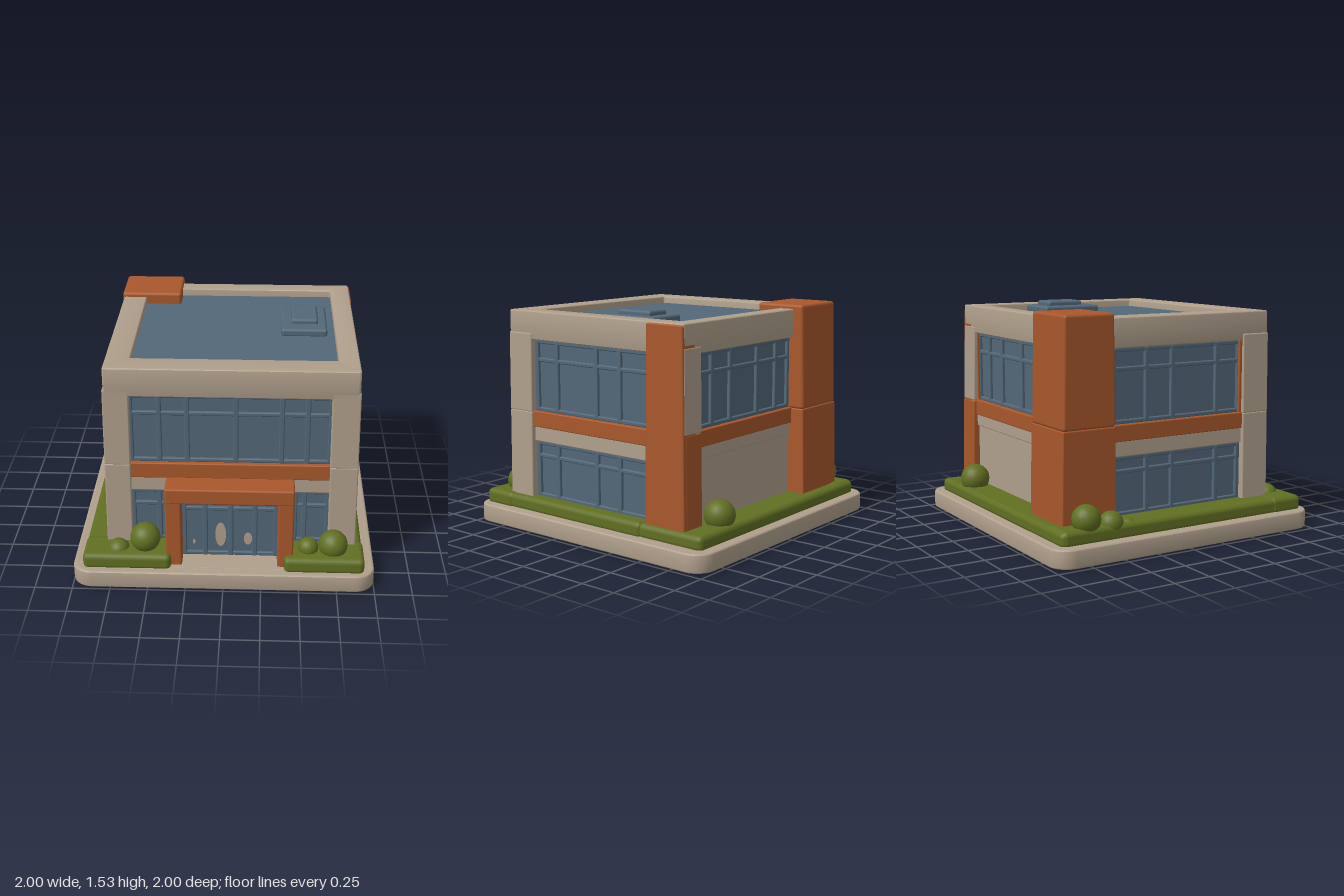
import * as THREE from 'three';
import { toCreasedNormals } from 'three/addons/utils/BufferGeometryUtils.js';
import { RoundedBoxGeometry } from 'three/addons/geometries/RoundedBoxGeometry.js';

const paint = (name, color) => {
  const m = new THREE.MeshStandardMaterial({ color });
  m.name = name;
  return m;
};

export function createModel() {
  const model = new THREE.Group();
  model.name = 'officeBuilding';
  const stone = paint('stone', 0xb0a08c);
  const brick = paint('terracotta', 0xa8582c);
  const glass = paint('blueGlass', 0x536878);
  const leaf = paint('hedgeGreen', 0x616f22);

  const add = (name, geo, mat) => {
    const mesh = new THREE.Mesh(geo, mat);
    mesh.name = name;
    model.add(mesh);
    return mesh;
  };

  // Soft-edged box given by its limits; tall parts lean inwards as they rise
  function box(name, mat, x0, x1, y0, y1, z0, z1, r = 0.012, lean = false) {
    const w = x1 - x0, h = y1 - y0, d = z1 - z0;
    const geo = new RoundedBoxGeometry(w, h, d, 2, Math.min(r, w * 0.45, h * 0.45, d * 0.45));
    geo.translate((x0 + x1) / 2, (y0 + y1) / 2, (z0 + z1) / 2);
    if (lean) {
      const p = geo.attributes.position;
      for (let i = 0; i < p.count; i++) {
        const y = p.getY(i), z = p.getZ(i);
        p.setX(i, p.getX(i) * (1 - 0.016 * y));
        if (z < -0.6) p.setZ(i, z * (1 - 0.03 * y));
      }
    }
    return add(name, geo, mat);
  }

  function roundRect(S, x0, x1, z0, z1, r) {
    const s = new S(), a = -z1, b = -z0;
    s.moveTo(x0 + r, a);
    s.lineTo(x1 - r, a); s.absarc(x1 - r, a + r, r, -Math.PI / 2, 0);
    s.lineTo(x1, b - r); s.absarc(x1 - r, b - r, r, 0, Math.PI / 2);
    s.lineTo(x0 + r, b); s.absarc(x0 + r, b - r, r, Math.PI / 2, Math.PI);
    s.lineTo(x0, a + r); s.absarc(x0 + r, a + r, r, Math.PI, Math.PI * 1.5);
    return s;
  }

  // Horizontal ring with an opening and bevelled edges
  function ring(name, mat, outer, inner, y0, y1, bevel) {
    const shape = roundRect(THREE.Shape, ...outer);
    shape.holes.push(roundRect(THREE.Path, ...inner));
    const geo = new THREE.ExtrudeGeometry(shape, {
      depth: y1 - y0 - 2 * bevel, bevelThickness: bevel, bevelSize: bevel,
      bevelOffset: -bevel, bevelSegments: 3, curveSegments: 8,
    });
    geo.rotateX(-Math.PI / 2);
    geo.translate(0, y0 + bevel, 0);
    add(name, toCreasedNormals(geo, 0.4), mat);
  }

  // Hollow plinth with a paved lip, floor and open feet below the corners
  ring('plinth', stone, [-1, 1, -1, 1, 0.13], [-0.945, 0.945, -0.945, 0.945, 0.09], 0.01, 0.135, 0.016);
  ring('paving', stone, [-0.965, 0.965, -0.965, 0.965, 0.1], [-0.9, 0.9, -0.9, 0.9, 0.08], 0.117, 0.135, 0.001);
  box('floor', stone, -0.76, 0.84, 0.115, 0.133, -0.74, 0.76, 0.004);
  box('entranceFloor', stone, -0.4, 0.48, 0.115, 0.136, 0.68, 0.93, 0.004);
  for (const [x0, x1, y0, z0, z1] of [
    [-0.78, -0.38, 0.02, -0.85, -0.48], [0.7, 0.86, 0.03, -0.77, -0.6],
    [0.7, 0.86, 0.03, 0.58, 0.75], [-0.78, -0.62, 0, 0.55, 0.75],
  ]) {
    const t = (x1 - x0) * 0.18;
    ring('foot', stone, [x0, x1, z0, z1, 0.01], [x0 + t, x1 - t, z0 + t, z1 - t, 0.01], y0, 0.125, 0.004);
  }

  // Glazed core, whose top is the flat roof
  box('glazedCore', glass, -0.72, 0.805, 0.12, 1.45, -0.7, 0.7, 0.005);

  // Corner posts, in two lifts
  for (const [y0, y1] of [[0.12, 0.815], [0.812, 1.35]]) {
    box('leftPost', stone, -0.787, -0.615, y0, y1, 0.55, 0.76, 0.009, true);
    box('rightPost', stone, 0.695, 0.88, y0, y1, 0.55, 0.76, 0.009, true);
    box('tower', brick, -0.79, -0.36, y0, y1 > 1 ? 1.53 : y1, -0.86, -0.46, y1 > 1 ? 0.02 : 0.008, true);
  }
  box('brickPost', brick, 0.75, 0.884, 0.12, 1.492, -0.782, -0.46, 0.012, true);
  box('brickPostBase', brick, 0.695, 0.86, 0.12, 0.815, -0.784, -0.5, 0.012, true);
  box('backPostFace', stone, 0.695, 0.872, 0.815, 1.35, -0.785, -0.7, 0.009, true);

  // Roof parapet and skylight
  ring('parapet', stone, [-0.762, 0.855, -0.75, 0.76, 0.015], [-0.6, 0.72, -0.63, 0.59, 0.01], 1.305, 1.5, 0.012);
  box('skylightBase', glass, 0.36, 0.67, 1.44, 1.497, -0.34, 0.095, 0.018);
  box('skylightTop', glass, 0.43, 0.61, 1.48, 1.53, -0.28, -0.005, 0.018);

  // Strip standing out from one wall; u runs along that wall
  const plane = { front: 0.7, back: -0.7, right: 0.805, left: -0.72 };
  function strip(side, name, mat, u0, u1, y0, y1, out) {
    const p = plane[side], s = Math.sign(p);
    const a = Math.min(p - s * 0.02, p + s * out), b = Math.max(p - s * 0.02, p + s * out);
    if (side === 'front' || side === 'back') box(name, mat, u0, u1, y0, y1, a, b, 0.008);
    else box(name, mat, a, b, y0, y1, u0, u1, 0.008);
  }

  // Window frame: border, transom and mullions
  function windowFrame(side, u0, u1, y0, y1, transom, mullions) {
    for (const u of [u0 + 0.012, ...mullions, u1 - 0.012])
      strip(side, 'mullion', glass, u - 0.017, u + 0.017, y0, y1, 0.02);
    for (const y of [y0 + 0.012, transom, y1 - 0.012])
      strip(side, 'transom', glass, u0, u1, y - 0.014, y + 0.014, 0.018);
  }

  const walls = {
    front: [-0.615, 0.695, [-0.42, -0.24, 0.075, 0.37, 0.535]],
    back: [-0.36, 0.695, [-0.2, 0.02, 0.32, 0.52]],
    right: [-0.46, 0.55, [-0.2, 0.0, 0.355]],
    left: [-0.46, 0.55, [-0.2, 0.0, 0.355]],
  };
  for (const [side, [u0, u1, mullions]] of Object.entries(walls)) {
    windowFrame(side, u0, u1, 0.82, 1.305, 1.17, mullions);
    strip(side, 'brickBand', brick, u0 - 0.01, u1 + 0.01, 0.71, 0.82, 0.045);
    // Brick reveals beside the upper windows
    if (side === 'back' || side === 'left')
      strip(side, 'brickReveal', brick, u1 - 0.022, u1 + 0.006, 0.81, 1.31, 0.035);
    if (side === 'back') {
      strip(side, 'backWall', stone, u0 - 0.01, u1 + 0.01, 0.13, 0.64, 0.025);
      strip(side, 'backWallLip', stone, u0 - 0.01, u1 + 0.01, 0.63, 0.715, 0.038);
      continue;
    }
    strip(side, 'stoneBand', stone, u0 - 0.01, u1 + 0.01, 0.61, 0.715, 0.035);
    if (side !== 'front') windowFrame(side, u0, u1, 0.22, 0.61, 0.51, mullions);
  }
  windowFrame('front', -0.615, -0.375, 0.22, 0.61, 0.5, [-0.43]);
  windowFrame('front', 0.455, 0.695, 0.22, 0.61, 0.5, [0.53]);

  // Entrance portal, doors and handles
  box('portalLeft', brick, -0.38, -0.275, 0.125, 0.7, 0.68, 0.9);
  box('portalRight', brick, 0.355, 0.46, 0.125, 0.7, 0.68, 0.9);
  box('portalLintel', brick, -0.38, 0.46, 0.605, 0.715, 0.68, 0.902);
  box('doors', glass, -0.28, 0.36, 0.13, 0.61, 0.69, 0.76, 0.004);
  for (const x of [-0.265, -0.125, 0.045, 0.205, 0.345])
    box('doorStile', glass, x - 0.017, x + 0.017, 0.135, 0.61, 0.75, 0.78, 0.008);
  for (const y of [0.15, 0.5, 0.597])
    box('doorRail', glass, -0.28, 0.36, y - 0.014, y + 0.014, 0.75, 0.777, 0.008);
  for (const [x, y, w, h] of [[-0.022, 0.295, 0.036, 0.094], [0.16, 0.265, 0.028, 0.048], [-0.2, 0.235, 0.008, 0.02]]) {
    const handle = add('doorHandle', new THREE.CircleGeometry(1, 20), stone);
    handle.scale.set(w, h, 1);
    handle.position.set(x, y, 0.766);
  }

  // Hedges around the walls
  box('leftHedge', leaf, -0.925, -0.7, 0.117, 0.225, -0.92, 0.94, 0.035);
  box('rightHedge', leaf, 0.78, 0.922, 0.117, 0.225, -0.45, 0.94, 0.035);
  box('rightBackHedge', leaf, 0.78, 0.912, 0.117, 0.22, -0.925, -0.42, 0.035);
  box('backHedge', leaf, -0.92, 0.91, 0.117, 0.22, -0.93, -0.7, 0.035);
  box('frontLeftHedge', leaf, -0.93, -0.345, 0.117, 0.23, 0.7, 0.95, 0.035);
  box('frontRightHedge', leaf, 0.4, 0.93, 0.117, 0.23, 0.7, 0.96, 0.035);

  // Round bushes: x, y, z, radius
  const bushes = [
    [-0.52, 0.3, 0.82, 0.1], [-0.7, 0.205, 0.83, 0.075], [0.56, 0.245, 0.82, 0.068],
    [0.725, 0.27, 0.82, 0.097], [0.57, 0.27, -0.82, 0.102], [-0.85, 0.27, -0.72, 0.094],
    [-0.85, 0.22, -0.54, 0.08], [-0.86, 0.18, -0.42, 0.06],
  ];
  for (const [x, y, z, r] of bushes)
    add('bush', new THREE.SphereGeometry(r, 20, 14), leaf).position.set(x, y, z);

  return model;
}
